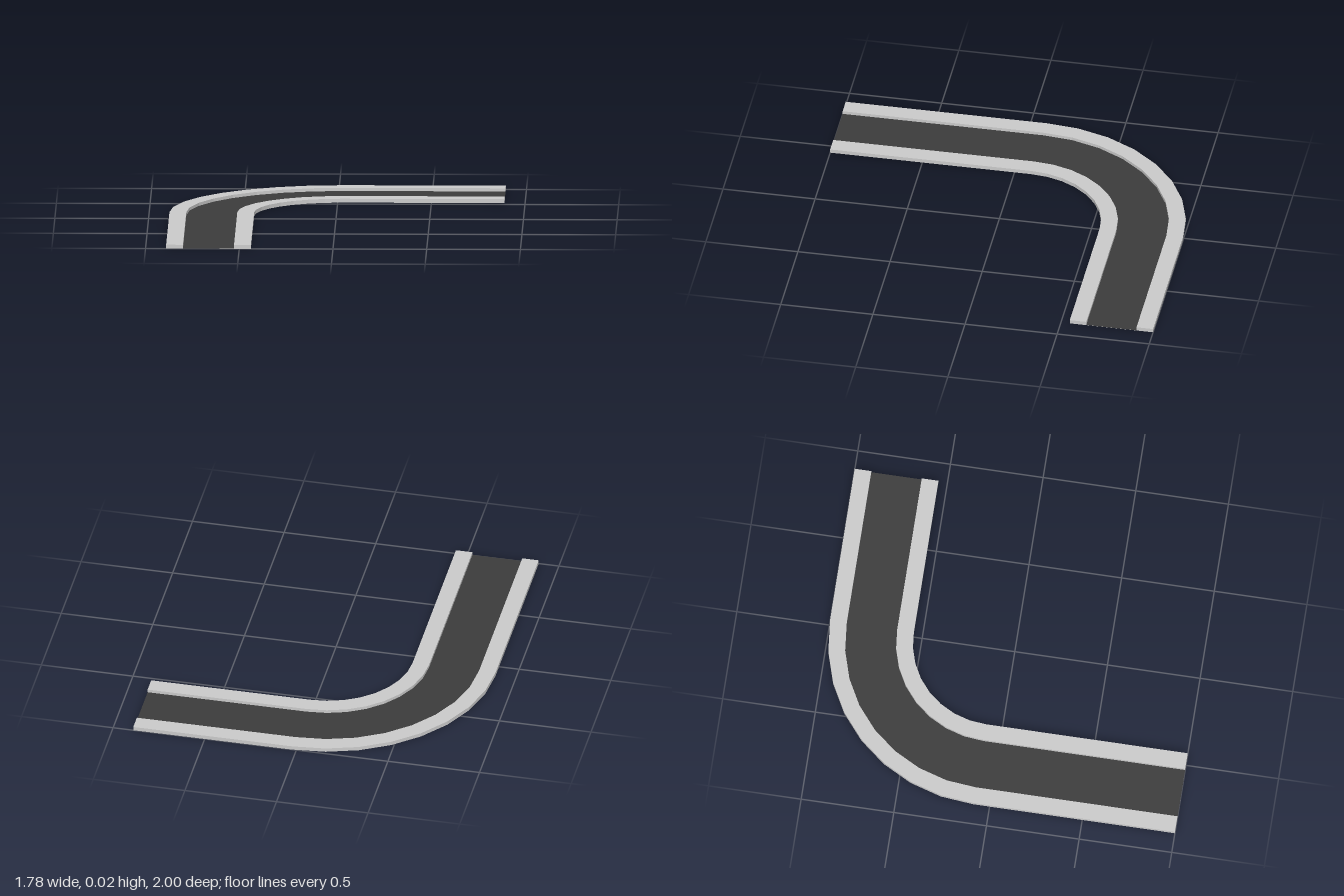
import * as THREE from 'three';

// Centre of the bend, far ends of the two straights, and edge radii
const CX = 0.022, CZ = -0.088, END_X = 0.89, END_Z = 1;
const R_INNER = 0.46, R_ROAD_IN = 0.55, R_ROAD_OUT = 0.822, R_OUTER = 0.912;
const SEGMENTS = 8;

// Plan line at a given radius: straight, faceted quarter bend, straight
function edgeLine(r) {
  const points = [new THREE.Vector2(CX - r, -END_Z)];
  for (let i = 0; i <= SEGMENTS; i++) {
    const a = (i / SEGMENTS) * Math.PI / 2;
    points.push(new THREE.Vector2(CX - r * Math.cos(a), -CZ + r * Math.sin(a)));
  }
  points.push(new THREE.Vector2(END_X, -CZ + r));
  return points;
}

// Strip between two radii, raised from y0 to y1
function strip(name, r0, r1, y0, y1, material) {
  const shape = new THREE.Shape([...edgeLine(r0), ...edgeLine(r1).reverse()]);
  const geometry = new THREE.ExtrudeGeometry(shape, { depth: y1 - y0, bevelEnabled: false });
  geometry.rotateX(-Math.PI / 2);
  geometry.translate(0, y0, 0);
  const mesh = new THREE.Mesh(geometry, material);
  mesh.name = name;
  return mesh;
}

export function createModel() {
  const grey = new THREE.MeshStandardMaterial({ color: 0xcccccc, flatShading: true });
  const asphalt = new THREE.MeshStandardMaterial({ color: 0x3c3c3c, flatShading: true });
  const group = new THREE.Group();
  group.name = 'roadBend';
  group.add(
    // Raised pavements on both sides
    strip('innerPavement', R_INNER, R_ROAD_IN, 0, 0.021, grey),
    strip('outerPavement', R_ROAD_OUT, R_OUTER, 0, 0.021, grey),
    // Sunken carriageway on a thin bed
    strip('roadBed', R_ROAD_IN, R_ROAD_OUT, 0, 0.001, grey),
    strip('roadSurface', R_ROAD_IN, R_ROAD_OUT, 0.001, 0.004, asphalt)
  );
  return group;
}
